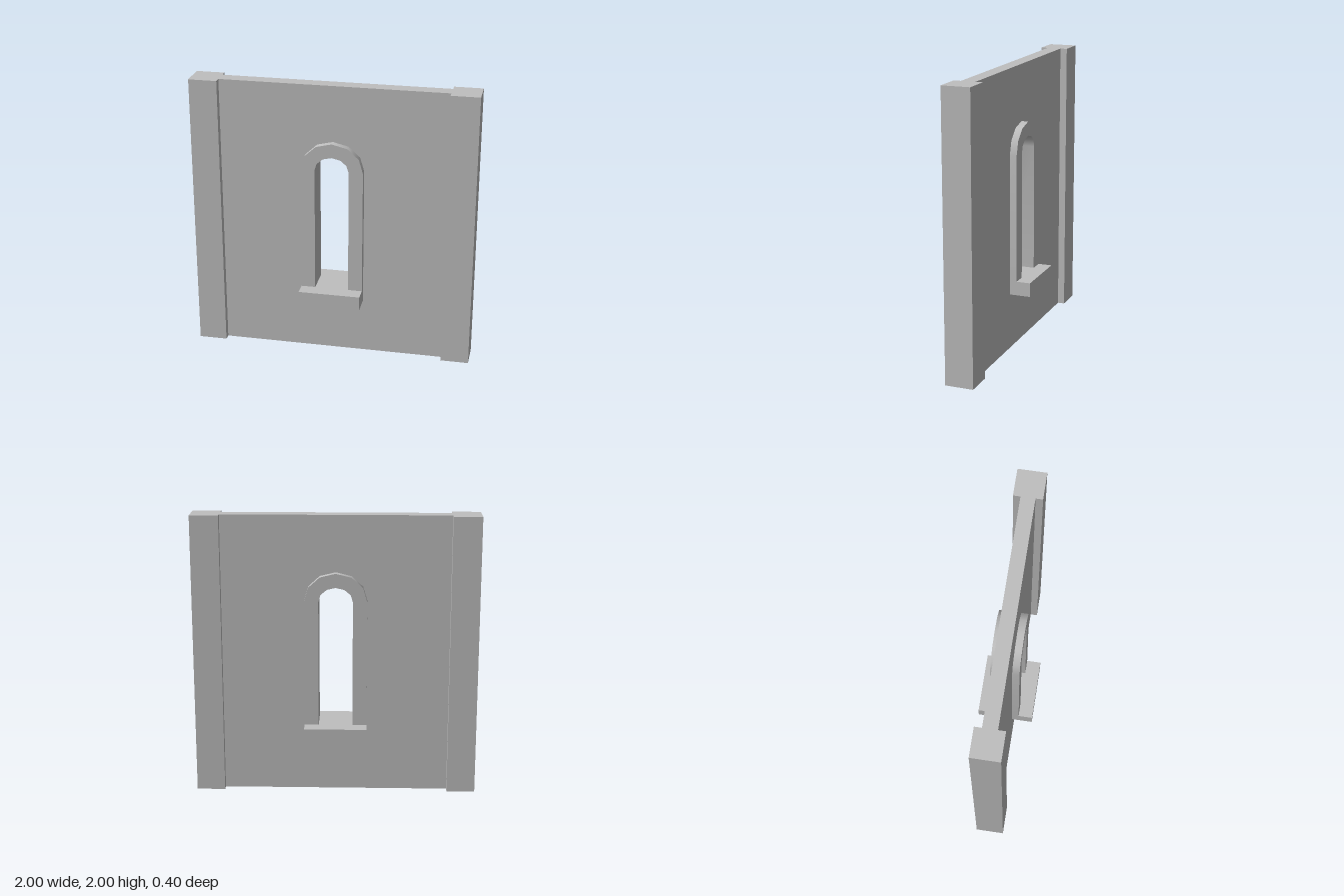
import * as THREE from 'three';
import { toCreasedNormals } from 'three/addons/utils/BufferGeometryUtils.js';

const SPRING = 1.4; // height where the arch begins

// Round-headed outline: up the right side, over the arch, down the left side
function archPoints(halfWidth, rise, bottom) {
  const points = [new THREE.Vector2(halfWidth, bottom)];
  for (let i = 0; i <= 6; i++) {
    const a = (i / 6) * Math.PI;
    points.push(new THREE.Vector2(halfWidth * Math.cos(a), SPRING + rise * Math.sin(a)));
  }
  points.push(new THREE.Vector2(-halfWidth, bottom));
  return points;
}

// Extrusion centred on z = 0
function slab(shape, depth) {
  const geometry = new THREE.ExtrudeGeometry(shape, { depth, bevelEnabled: false });
  geometry.translate(0, 0, -depth / 2);
  return toCreasedNormals(geometry, 0.65);
}

export function createModel() {
  const model = new THREE.Group();
  model.name = 'windowWall';
  const stone = new THREE.MeshStandardMaterial({ color: 0xbfbfbf });
  stone.name = 'grey stone';

  const add = (name, geometry, x = 0, y = 0) => {
    const mesh = new THREE.Mesh(geometry, stone);
    mesh.name = name;
    mesh.position.set(x, y, 0);
    model.add(mesh);
  };

  // Thin wall panel, cut out to receive the window frame and sill
  const wall = new THREE.Shape([
    new THREE.Vector2(-0.8, 0), new THREE.Vector2(0.8, 0),
    new THREE.Vector2(0.8, 2), new THREE.Vector2(-0.8, 2),
  ]);
  wall.holes.push(new THREE.Path(archPoints(0.22, 0.2, 0.4)));
  add('wallPanel', slab(wall, 0.1));

  // Square posts at both ends
  for (const side of [-1, 1]) {
    add(side > 0 ? 'leftPost' : 'rightPost', new THREE.BoxGeometry(0.2, 2, 0.2), side * 0.9, 1);
  }

  // Arched frame running through the wall, open at the bottom
  const frame = new THREE.Shape([
    ...archPoints(0.22, 0.2, 0.5),
    ...archPoints(0.12, 0.1, 0.5).reverse(),
  ]);
  add('windowFrame', slab(frame, 0.2));

  // Sill projecting on both faces
  add('windowSill', new THREE.BoxGeometry(0.44, 0.1, 0.4), 0, 0.45);

  return model;
}
